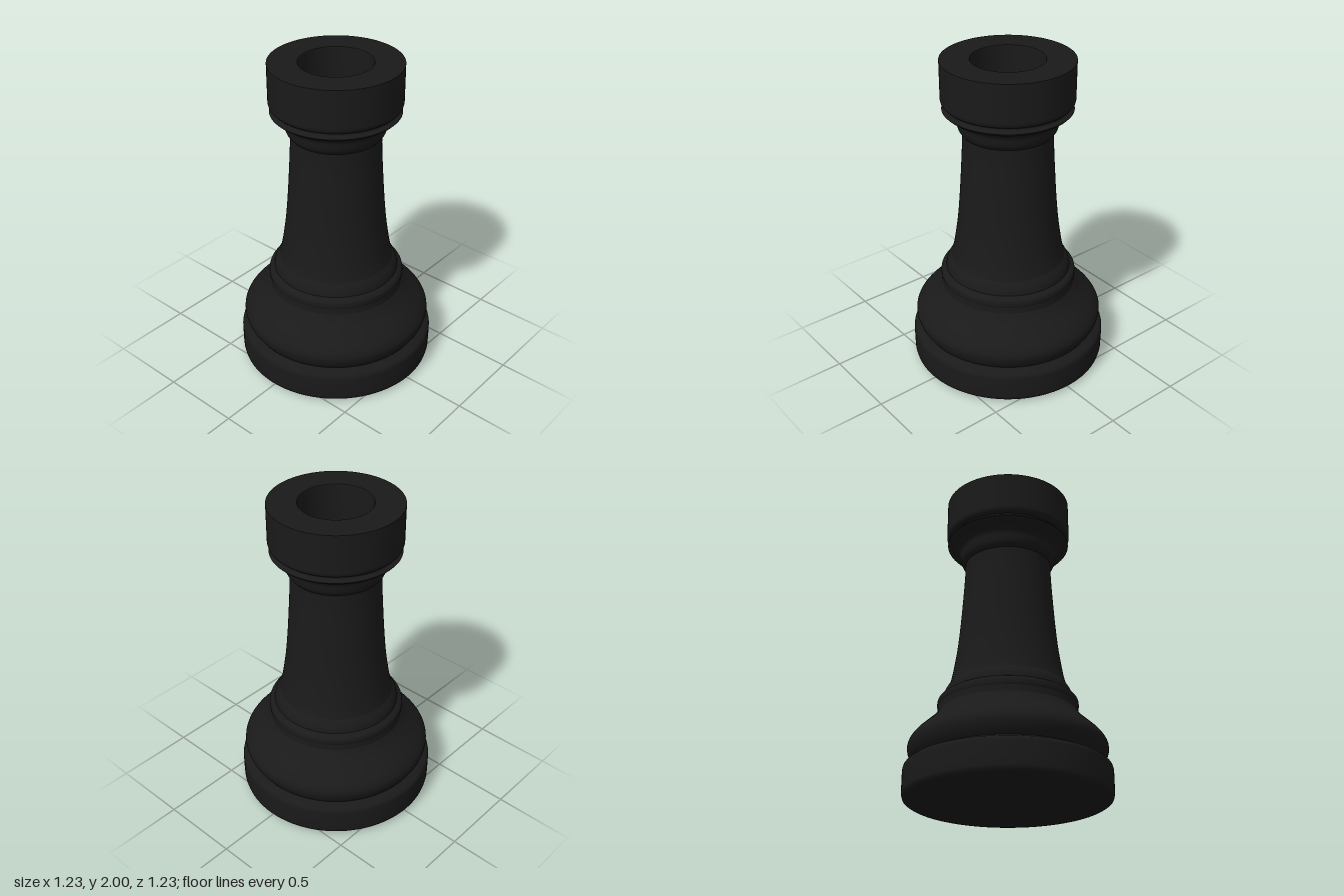
import * as THREE from 'three';

const SEGMENTS = 96;
const material = new THREE.MeshStandardMaterial({ color: 0x1a1a1a });

// Turned part: each run of [radius, height] points is smooth, with a crisp edge between runs
function turned(name, ...runs) {
  const part = new THREE.Group();
  part.name = name;
  runs.forEach((run, i) => {
    const points = run.map(([r, y]) => new THREE.Vector2(r, y));
    const mesh = new THREE.Mesh(new THREE.LatheGeometry(points, SEGMENTS), material);
    mesh.name = `${name}Surface${i + 1}`;
    part.add(mesh);
  });
  return part;
}

// Sample a smooth curve through a few profile points
function smooth(points, steps = 24) {
  const curve = new THREE.SplineCurve(points.map(([r, y]) => new THREE.Vector2(r, y)));
  return curve.getPoints(steps).map((p) => [p.x, p.y]);
}

export function createModel() {
  const model = new THREE.Group();
  model.name = 'chessRook';

  // Foot disc with rounded rims
  model.add(turned('foot',
    [[0, 0], [0.42, 0]],
    [[0.42, 0], [0.57, 0.007], [0.595, 0.011], [0.608, 0.02], [0.613, 0.04],
      [0.614, 0.1], [0.614, 0.175], [0.61, 0.192], [0.6, 0.203], [0.575, 0.214], [0.555, 0.225]]));

  // Bulging lower body
  model.add(turned('belly', smooth([[0.555, 0.225], [0.578, 0.262], [0.591, 0.31], [0.582, 0.35],
    [0.55, 0.393], [0.5, 0.44], [0.455, 0.485], [0.422, 0.53]], 32)));

  // Stepped rings between belly and shaft
  model.add(turned('lowerCollar',
    [[0.422, 0.53], [0.42, 0.57]],
    smooth([[0.42, 0.57], [0.424, 0.585], [0.422, 0.61], [0.41, 0.624], [0.39, 0.636]], 16),
    smooth([[0.39, 0.636], [0.384, 0.665], [0.372, 0.69], [0.355, 0.715]], 12)));

  // Tapering shaft
  model.add(turned('shaft', smooth([[0.355, 0.715], [0.341, 0.77], [0.327, 0.85], [0.31, 0.97],
    [0.295, 1.13], [0.282, 1.32], [0.274, 1.46], [0.272, 1.55]], 32)));

  // Flared rings under the head
  model.add(turned('upperCollar',
    smooth([[0.272, 1.55], [0.292, 1.575], [0.302, 1.605], [0.31, 1.64], [0.335, 1.668],
      [0.37, 1.685], [0.388, 1.702]], 24),
    smooth([[0.388, 1.702], [0.385, 1.71], [0.37, 1.718], [0.368, 1.73]], 12)));

  // Head with a round recess in its flat top
  model.add(turned('head',
    smooth([[0.368, 1.73], [0.38, 1.737], [0.39, 1.748], [0.395, 1.765]], 10),
    [[0.395, 1.765], [0.395, 2]],
    [[0.395, 2], [0.22, 2]],
    [[0.22, 2], [0.216, 1.992], [0.215, 1.76]],
    [[0.215, 1.76], [0, 1.76]]));

  return model;
}
